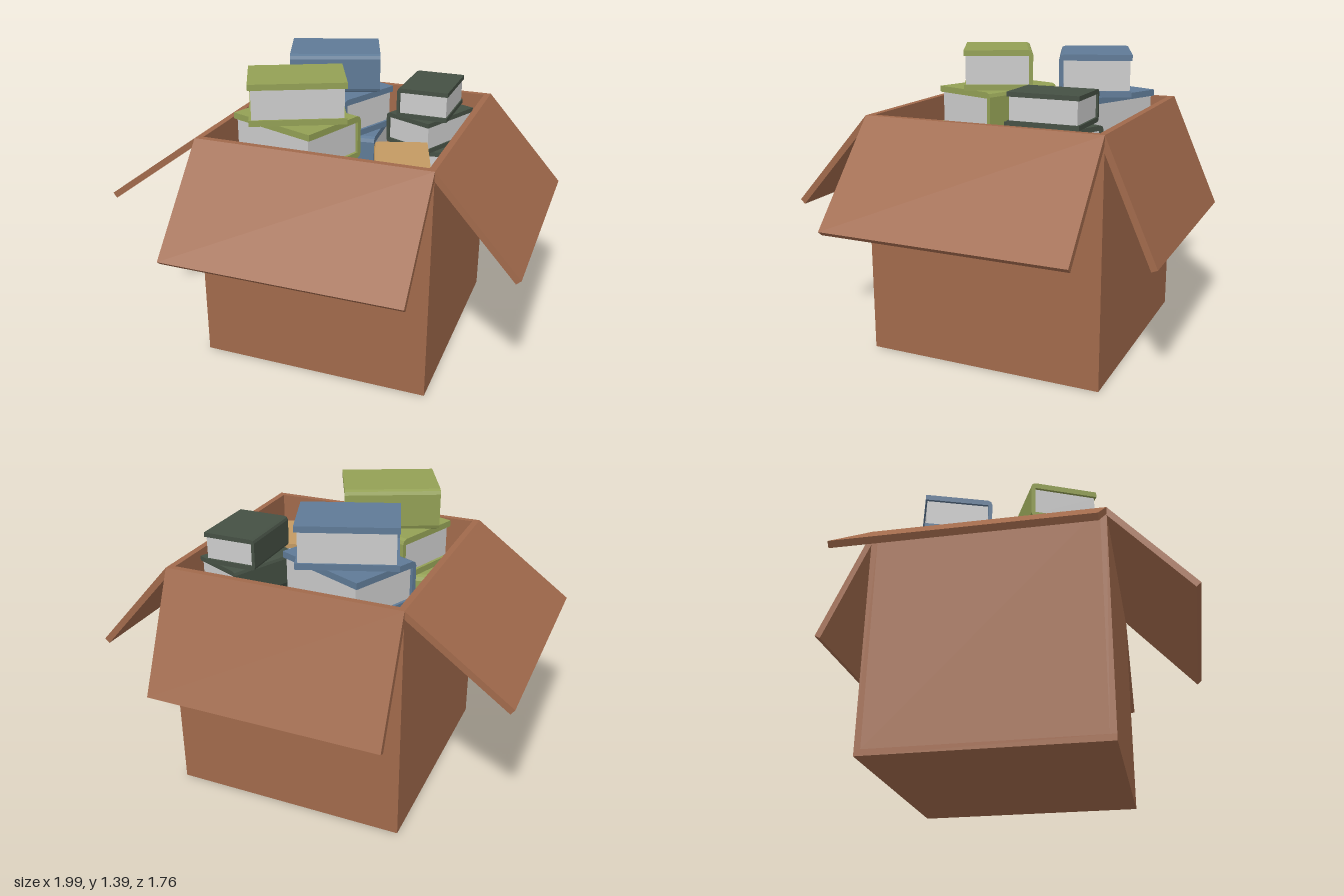
import * as THREE from 'three';

const mat = (color) => new THREE.MeshStandardMaterial({ color, flatShading: true });
const CARD = mat(0xa0694b), PAGE = mat(0xcccccc);
const BLUE = mat(0x5f7a96), GREEN = mat(0x93a055), DARK = mat(0x455044), TAN = mat(0xc39a62);

function box(name, material, w, h, d, x, y, z) {
  const mesh = new THREE.Mesh(new THREE.BoxGeometry(w, h, d), material);
  mesh.position.set(x, y, z);
  mesh.name = name;
  return mesh;
}

// Carton extents and wall thickness
const X0 = -0.52, X1 = 0.6, Z0 = -0.64, Z1 = 0.49, H = 1.13, T = 0.03;
const CX = (X0 + X1) / 2, CZ = (Z0 + Z1) / 2, W = X1 - X0, D = Z1 - Z0;

function carton() {
  const g = new THREE.Group();
  g.name = 'carton';
  g.add(box('floor', CARD, W, T, D, CX, T / 2, CZ));
  const wallH = H - T, wallY = T + wallH / 2;
  g.add(box('frontWall', CARD, W, wallH, T, CX, wallY, Z1 - T / 2));
  g.add(box('backWall', CARD, W, wallH, T, CX, wallY, Z0 + T / 2));
  g.add(box('leftWall', CARD, T, wallH, D - 2 * T, X1 - T / 2, wallY, CZ));
  g.add(box('rightWall', CARD, T, wallH, D - 2 * T, X0 + T / 2, wallY, CZ));

  // Flaps hinge on the outer top edges: [name, x, z, turn, drop, width]
  const flaps = [
    ['frontFlap', CX, Z1, 0, 48, W],
    ['leftFlap', X1, CZ, 90, 48, D],
    ['backFlap', CX, Z0, 180, 66, W],
    ['rightFlap', X0, CZ, -90, 36, D],
  ];
  for (const [name, x, z, turn, drop, width] of flaps) {
    const length = 0.588;
    const hinge = new THREE.Group();
    hinge.name = name;
    hinge.position.set(x, H, z);
    hinge.rotation.set(THREE.MathUtils.degToRad(drop), THREE.MathUtils.degToRad(turn), 0, 'YXZ');
    hinge.add(box(name + 'Panel', CARD, width, T, length, 0, -T / 2, length / 2));
    g.add(hinge);
  }
  return g;
}

// One book lying flat: spine along x on the -z side, standing on y = 0
const BW = 0.445, BD = 0.335, BH = 0.195, COVER = 0.028, BEVEL = 0.022;

function coverGeometry() {
  const d = BD / 2, s = -d + 0.02;
  const outline = [
    [d, 0], [d, COVER], [s, COVER], [s, BH - COVER], [d, BH - COVER], [d, BH],
    [-d + BEVEL, BH], [-d + BEVEL * 0.3, BH - BEVEL * 0.3], [-d, BH - BEVEL],
    [-d, BEVEL], [-d + BEVEL * 0.3, BEVEL * 0.3], [-d + BEVEL, 0],
  ].map(([z, y]) => new THREE.Vector2(-z, y));
  const geo = new THREE.ExtrudeGeometry(new THREE.Shape(outline), { depth: BW, bevelEnabled: false });
  return geo.translate(0, 0, -BW / 2).rotateY(Math.PI / 2);
}
const coverGeo = coverGeometry();

function book(material) {
  const g = new THREE.Group();
  g.name = 'book';
  const cover = new THREE.Mesh(coverGeo, material);
  cover.name = 'cover';
  const depth = BD - 0.028;
  g.add(cover, box('pages', PAGE, BW - 0.026, BH - 2 * COVER, depth, 0, BH / 2, 0.006));
  return g;
}

// Books piled from the top down, each a little larger than the one above
function stack(name, material, x, z, top, scale, turns) {
  const g = new THREE.Group();
  g.name = name;
  let y = top;
  turns.forEach((turn, i) => {
    const k = scale * (1 + 0.34 * i / (turns.length - 1));
    const b = book(material);
    y -= BH * k;
    b.scale.setScalar(k);
    b.position.set(x, y, z);
    b.rotation.y = THREE.MathUtils.degToRad(turn);
    g.add(b);
  });
  return g;
}

export function createModel() {
  const model = new THREE.Group();
  model.name = 'boxOfBooks';
  model.add(
    carton(),
    stack('blueBooks', BLUE, -0.15, -0.333, 1.387, 1, [200, 156, 185, 14, 172, 180]),
    stack('greenBooks', GREEN, -0.147, 0.18, 1.387, 1, [25, -20, 10, 188, -8, 0]),
    stack('darkBooks', DARK, 0.36, -0.322, 1.26, 0.75, [90, 66, 102, 256, 80, 98, 90]),
    stack('tanBooks', TAN, 0.36, 0.163, 1.05, 0.75, [108, 62, 100, 250, 84, 90]),
  );
  return model;
}
